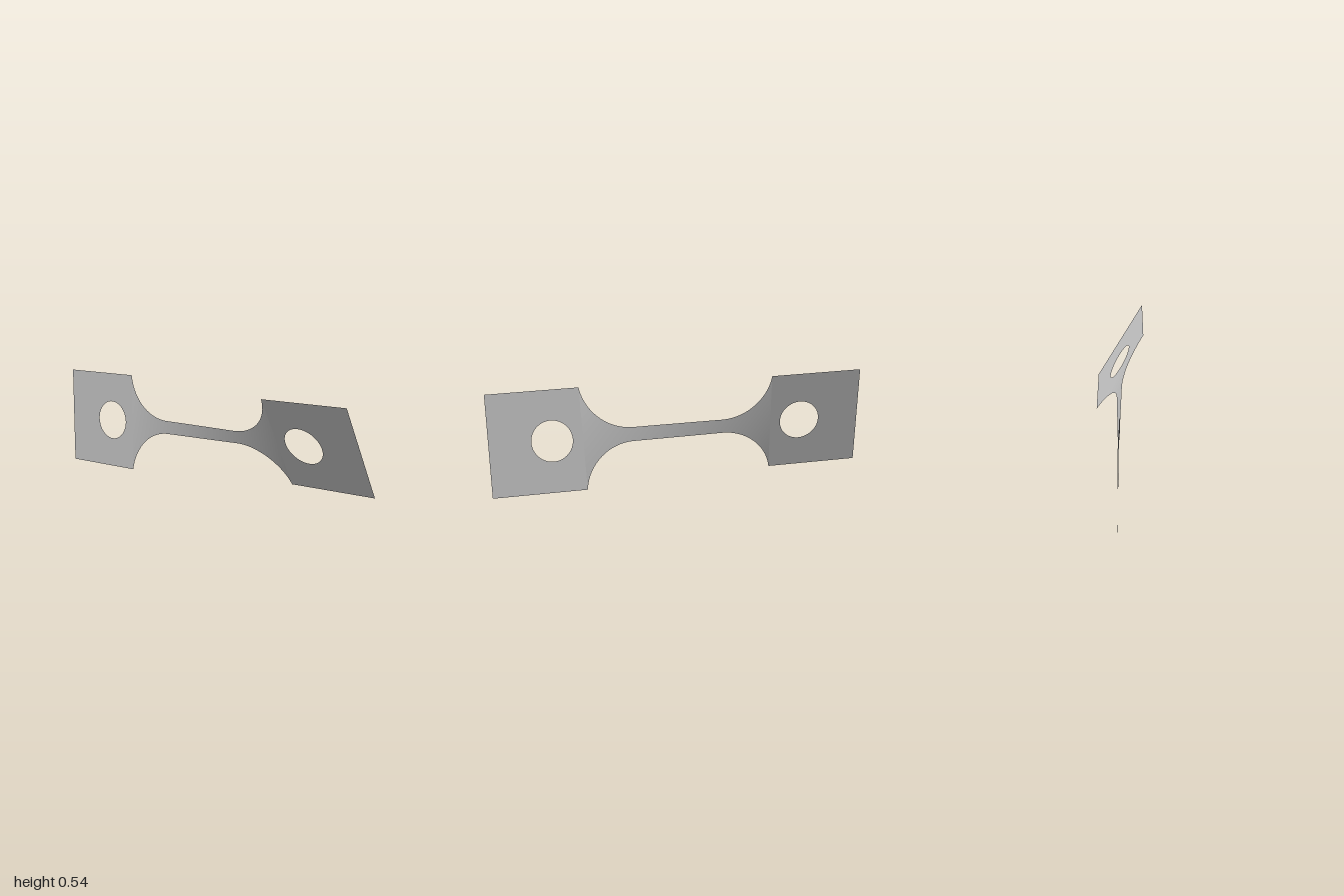
import * as THREE from 'three';

const MID_Y = 0.271;                       // height of the twist axis
const TAB_IN = 0.509, TAB_HALF = 0.27;     // inner edge and half height of the end tabs
const ARC_X = 0.24, ARC_Y = 0.309, ARC_R = 0.272; // fillet circle between neck and tab
const LEFT_TWIST = THREE.MathUtils.degToRad(30);
const RIGHT_TWIST = THREE.MathUtils.degToRad(0.5);

const twistAt = (x) =>
  THREE.MathUtils.lerp(RIGHT_TWIST, LEFT_TWIST, (x + TAB_IN) / (2 * TAB_IN));

// Flat end tab with a round hole, drawn for the +x or -x side
function tabGeometry(side) {
  const a = side * TAB_IN, b = side;
  const shape = new THREE.Shape([
    new THREE.Vector2(a, -TAB_HALF), new THREE.Vector2(b, -TAB_HALF),
    new THREE.Vector2(b, TAB_HALF), new THREE.Vector2(a, TAB_HALF),
  ]);
  const hole = new THREE.Path();
  hole.absarc(side * 0.671, 0, 0.108, 0, Math.PI * 2, true);
  shape.holes.push(hole);
  return new THREE.ShapeGeometry(shape, 32).rotateX(twistAt(a));
}

// Twisted neck: columns of a plane are moved to the fillet outline and turned about x
function neckGeometry() {
  const columns = [];
  const end = Math.asin((TAB_IN - ARC_X) / ARC_R);
  const steps = 24;
  for (let i = steps; i >= 0; i--) {
    const t = (end * i) / steps;
    columns.push([-ARC_X - ARC_R * Math.sin(t), ARC_Y - ARC_R * Math.cos(t)]);
  }
  for (let i = 1; i < 24; i++) {
    columns.push([-ARC_X + (2 * ARC_X * i) / 24, ARC_Y - ARC_R]);
  }
  const mirrored = columns.slice(0, steps + 1).reverse().map(([x, h]) => [-x, h]);
  columns.push(...mirrored);

  const rows = 8, count = columns.length;
  const geometry = new THREE.PlaneGeometry(1, 2, count - 1, rows);
  const p = geometry.attributes.position;
  for (let i = 0; i < p.count; i++) {
    const [x, half] = columns[i % count];
    const v = p.getY(i) * half, angle = twistAt(x);
    p.setXYZ(i, x, v * Math.cos(angle), v * Math.sin(angle));
  }
  geometry.computeVertexNormals();
  return geometry;
}

export function createModel() {
  const steel = new THREE.MeshStandardMaterial({ color: 0xb8b8b8, side: THREE.DoubleSide });
  steel.name = 'grey steel';

  const group = new THREE.Group();
  group.name = 'twistedLink';
  const add = (name, geometry) => {
    const mesh = new THREE.Mesh(geometry, steel);
    mesh.name = name;
    mesh.position.y = MID_Y;
    group.add(mesh);
  };

  add('rightTab', tabGeometry(-1));
  add('leftTab', tabGeometry(1));
  add('twistedNeck', neckGeometry());
  return group;
}
